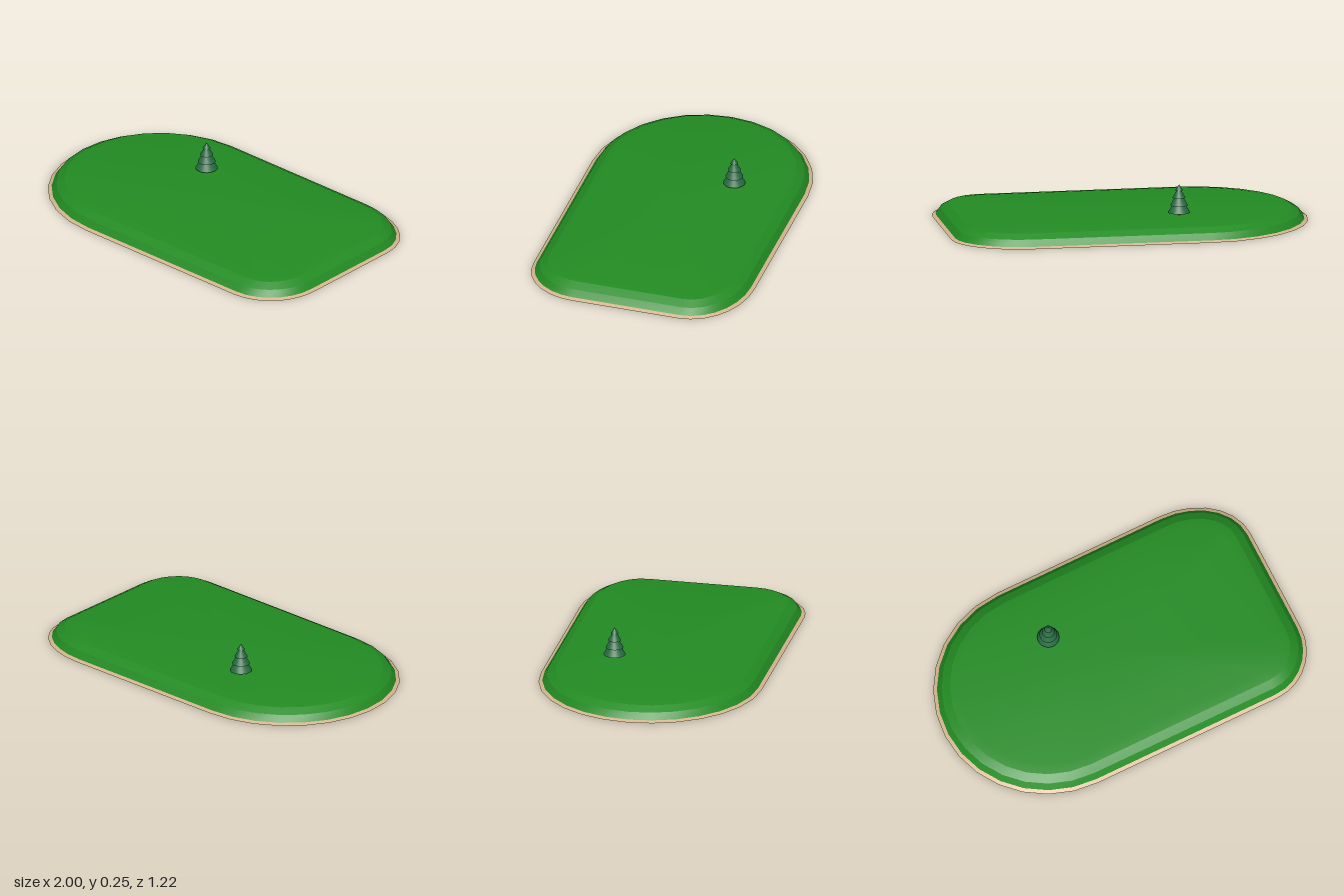
import * as THREE from 'three';
import { toCreasedNormals } from 'three/addons/utils/BufferGeometryUtils.js';

// Outline corners: centre x, centre z, radius x, radius z, start and sweep in quarter turns
const CORNERS = [
  [0.7, 0.3, 0.3, 0.31, 0, 1],
  [-0.38, 0, 0.62, 0.61, 1, 2],
  [0.6, -0.3, 0.4, 0.31, 3, 1],
];
const STEPS = 7; // segments per quarter turn

// One closed contour of the island, shrunk by inset
function contour([inset, y]) {
  const points = [];
  for (const [cx, cz, rx, rz, start, sweep] of CORNERS) {
    for (let i = 0; i <= STEPS * sweep; i++) {
      const a = (start + i / STEPS) * Math.PI / 2;
      points.push([cx + (rx - inset) * Math.cos(a), y, cz + (rz - inset) * Math.sin(a)]);
    }
  }
  return points;
}

// Skin between contours running from low to high, optionally closed on top
function skin(name, levels, color, closed) {
  const rings = levels.map(contour);
  const n = rings[0].length;
  const index = [];
  for (let r = 0; r < rings.length - 1; r++) {
    for (let i = 0; i < n; i++) {
      const a = r * n + i, b = r * n + (i + 1) % n;
      index.push(a, a + n, b, b, a + n, b + n);
    }
  }
  const positions = rings.flat();
  if (closed) {
    const top = (rings.length - 1) * n;
    positions.push([0, levels.at(-1)[1], 0]);
    for (let i = 0; i < n; i++) index.push(rings.length * n, top + (i + 1) % n, top + i);
  }
  const geometry = new THREE.BufferGeometry();
  geometry.setAttribute('position', new THREE.Float32BufferAttribute(positions.flat(), 3));
  geometry.setIndex(index);
  const mesh = new THREE.Mesh(
    toCreasedNormals(geometry, 0.35),
    new THREE.MeshStandardMaterial({ color, side: THREE.DoubleSide })
  );
  mesh.name = name;
  return mesh;
}

function createTree() {
  const tree = new THREE.Group();
  tree.name = 'tree';
  const add = (name, geometry, material, y) => {
    const mesh = new THREE.Mesh(geometry, material);
    mesh.name = name;
    mesh.position.y = y;
    tree.add(mesh);
  };
  // Short trunk, its foot just sunk into the grass
  const bark = new THREE.MeshStandardMaterial({ color: 0x5c4033 });
  add('trunk', new THREE.CylinderGeometry(0.007, 0.007, 0.03, 12), bark, 0.088);

  // Stacked foliage cones: base height, radius, cone height
  const needles = new THREE.MeshStandardMaterial({ color: 0x286a42 });
  const tiers = [[0.092, 0.06, 0.1], [0.132, 0.048, 0.082], [0.173, 0.035, 0.062], [0.214, 0.021, 0.032]];
  tiers.forEach(([y, radius, height], i) =>
    add(`foliageTier${i + 1}`, new THREE.ConeGeometry(radius, height, 24), needles, y + height / 2));
  return tree;
}

export function createModel() {
  const model = new THREE.Group();
  model.name = 'island';

  // Thin sandy shore and hollow grass mound: [inset, height]
  model.add(skin('beach', [[0, 0], [0.02, 0.009]], 0xd2b48c, false));
  model.add(skin('grassMound', [[0.02, 0.009], [0.045, 0.044], [0.09, 0.069], [0.145, 0.077]], 0x228b22, true));

  const tree = createTree();
  tree.position.set(-0.26, 0, -0.23);
  model.add(tree);
  return model;
}
